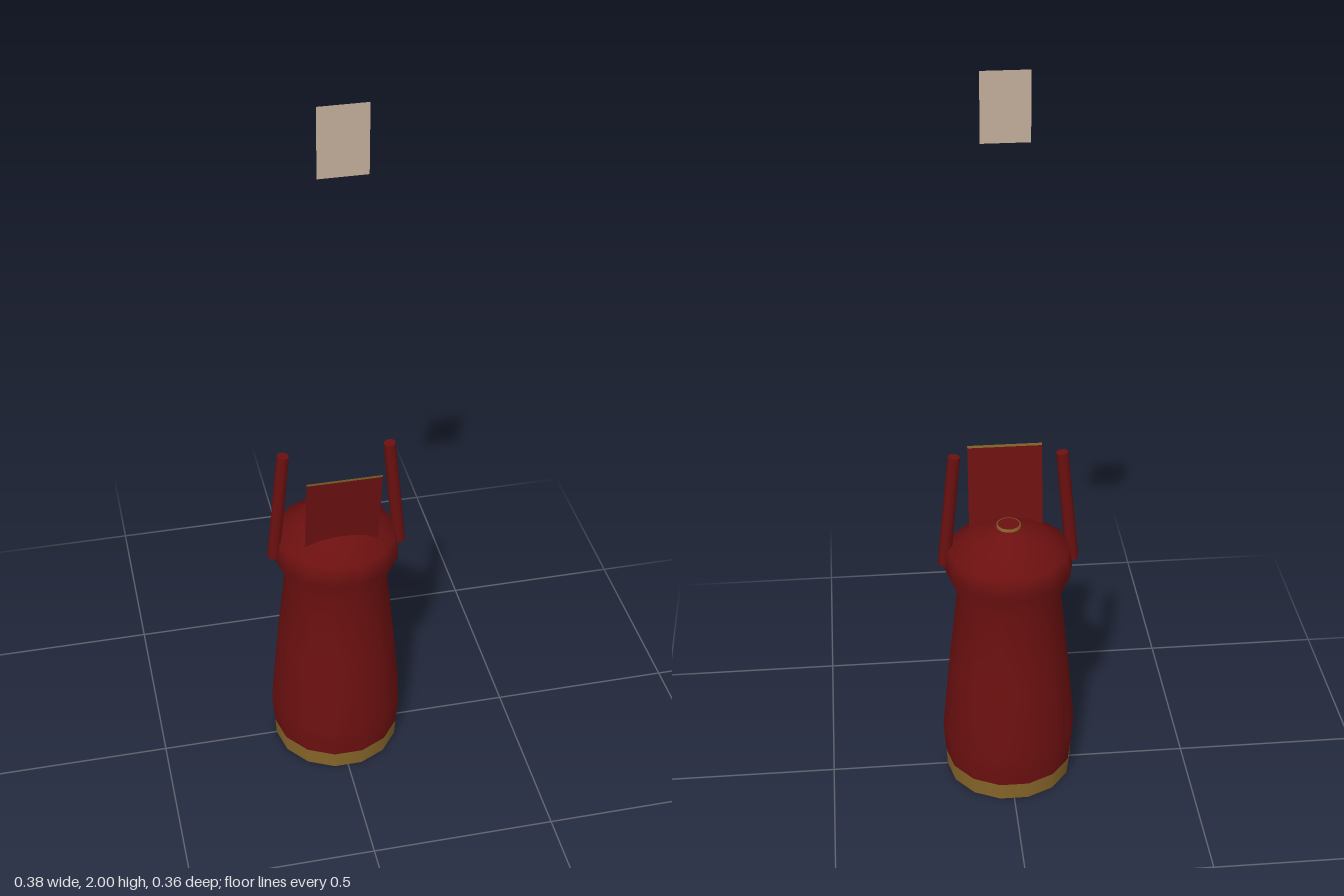
import * as THREE from 'three';

const SIDES = 14;

export function createModel() {
  const model = new THREE.Group();
  const material = (name, color, side = THREE.FrontSide) => {
    const m = new THREE.MeshStandardMaterial({ color, side });
    m.name = name;
    return m;
  };
  const red = material('dark red', 0x6c1010, THREE.DoubleSide);
  const brass = material('old brass', 0x876629, THREE.DoubleSide);
  const paper = material('pale paper', 0xc2ad99, THREE.DoubleSide);

  const add = (name, geometry, mat, x = 0, y = 0, z = 0) => {
    const mesh = new THREE.Mesh(geometry, mat);
    mesh.name = name;
    mesh.position.set(x, y, z);
    model.add(mesh);
    return mesh;
  };
  // Revolved shell from [radius, height] pairs, with corners on the x axis
  const lathe = (points) => new THREE.LatheGeometry(
    points.map(([r, y]) => new THREE.Vector2(r, y)), SIDES, Math.PI / 2);

  // Body: wide base, tapering waist, flared shoulder and shallow dome
  add('body', lathe([
    [0.178, 0.05], [0.185, 0.14], [0.165, 0.36], [0.141, 0.585],
    [0.173, 0.66], [0.164, 0.72], [0.1, 0.756], [0.033, 0.785],
  ]), red);
  add('baseBand', lathe([[0.175, 0], [0.178, 0.05]]), brass);
  add('baseCap', new THREE.CircleGeometry(0.175, SIDES).rotateX(Math.PI / 2), red);

  // Small brass rim with a red cap on top of the dome
  add('topRim', lathe([[0.033, 0.78], [0.033, 0.793], [0.03, 0.793]]), brass);
  add('topCap', new THREE.CircleGeometry(0.03, SIDES).rotateX(-Math.PI / 2), red, 0, 0.793, 0);

  // Two leaning side rods
  for (const side of [-1, 1]) {
    const foot = new THREE.Vector3(side * 0.173, 0.671, 0.012);
    const tip = new THREE.Vector3(side * 0.142, 0.997, 0.012);
    const direction = tip.clone().sub(foot);
    const rod = add(side > 0 ? 'leftRod' : 'rightRod',
      new THREE.CylinderGeometry(0.0165, 0.0175, direction.length(), 8), red);
    rod.position.copy(foot).add(tip).multiplyScalar(0.5);
    rod.quaternion.setFromUnitVectors(new THREE.Vector3(0, 1, 0), direction.normalize());
  }

  // Thin upright panel leaning forward, with a brass top edge
  const panel = new THREE.Group();
  panel.name = 'frontPanel';
  panel.position.set(0, 0.7, 0.072);
  panel.rotation.x = Math.atan(0.15);
  const sheet = new THREE.Mesh(new THREE.PlaneGeometry(0.2, 0.268).translate(0, 0.134, 0), red);
  sheet.name = 'panelSheet';
  const edge = new THREE.Mesh(new THREE.PlaneGeometry(0.2, 0.007).translate(0, 0.2715, 0), brass);
  edge.name = 'panelEdge';
  panel.add(sheet, edge);
  model.add(panel);

  // Floating card high above
  add('floatingCard', new THREE.PlaneGeometry(0.125, 0.18), paper, 0, 1.91, 0.083);

  return model;
}
